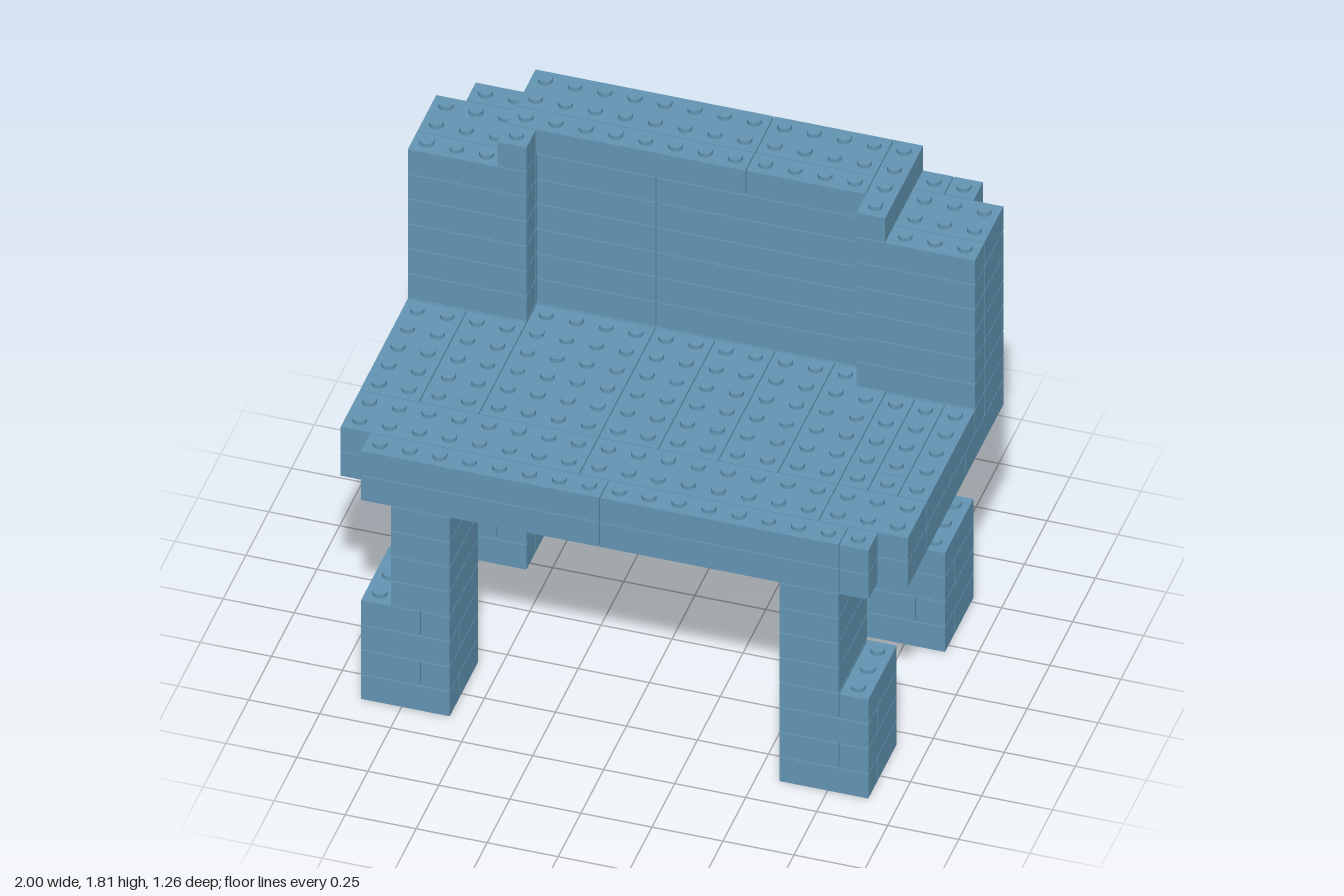
import * as THREE from 'three';
import { mergeGeometries } from 'three/addons/utils/BufferGeometryUtils.js';

// Everything sits on a grid of 19 x 12 cells and 17 layers.
const P = 2 / 19, H = 0.1055, GAP = 0.0035;
const STUD_R = 0.025, STUD_H = 0.016;
const X = i => -1 + i * P;
const Z = k => (k - 6) * P;

export function createModel() {
  const model = new THREE.Group();
  model.name = 'brickChair';
  const blue = new THREE.MeshStandardMaterial({ color: 0x6394b2 });
  blue.name = 'slate blue';

  const parts = {};
  const filled = new Set();
  const key = (i, k, layer) => `${i},${k},${layer}`;

  // One brick covering cells x0..x1 and z0..z1 on a layer
  function brick(part, layer, x0, x1, z0, z1) {
    (parts[part] ??= []).push({ layer, x0, x1, z0, z1 });
    for (let i = x0; i < x1; i++)
      for (let k = z0; k < z1; k++) filled.add(key(i, k, layer));
  }
  // A row of bricks cut at the given x positions
  function row(part, layer, cuts, z0, z1) {
    for (let c = 0; c < cuts.length - 1; c++) brick(part, layer, cuts[c], cuts[c + 1], z0, z1);
  }

  // Four legs: wide feet with alternating bond, narrower shafts above
  for (const [end, z, zCut] of [['front', 9, 11], ['back', 1, 3]]) {
    for (const [side, x0, xCut, s0] of [['Right', 1, 3, 2], ['Left', 15, 17, 15]]) {
      const name = `${end}${side}Leg`;
      for (let l = 0; l < 4; l++) {
        if (l % 2 === 0) {
          brick(name, l, x0, x0 + 3, z, zCut);
          brick(name, l, x0, x0 + 3, zCut, z + 3);
        } else row(name, l, [x0, xCut, x0 + 3], z, z + 3);
      }
      for (let l = 4; l < 8; l++) brick(name, l, s0, s0 + 2, z, z + 3);
    }
  }

  // Seat, lower layer
  row('seatBase', 8, [1, 17, 18], 0, 1);
  row('seatBase', 8, [0, 9, 19], 1, 5);
  row('seatBase', 8, [0, 9, 19], 5, 9);
  row('seatBase', 8, [0, 9, 19], 9, 11);
  row('seatBase', 8, [1, 9, 17, 18], 11, 12);

  // Seat, upper layer
  row('seatTop', 9, [1, 17, 18], 0, 1);
  row('seatTop', 9, [0, 4, 15, 19], 1, 3);
  brick('seatTop', 9, 0, 4, 3, 4);
  row('seatTop', 9, [0, 2, 4], 4, 9);
  row('seatTop', 9, [4, 8, 10, 12, 14], 3, 9);
  brick('seatTop', 9, 14, 16, 3, 9);
  brick('seatTop', 9, 16, 19, 3, 4);
  brick('seatTop', 9, 16, 17, 4, 9);
  brick('seatTop', 9, 17, 18, 4, 8);
  brick('seatTop', 9, 17, 18, 8, 9);
  brick('seatTop', 9, 18, 19, 4, 9);
  row('seatTop', 9, [0, 8, 16, 19], 9, 11);
  row('seatTop', 9, [1, 9, 17, 18], 11, 12);

  // Backrest wall with a thicker pillar at each end
  for (let l = 10; l < 16; l++) {
    row('backrestRear', l, [1, 17, 18], 0, 1);
    row('backrestWall', l, [4, 8, 15], 1, 3);
    for (const [name, x] of [['backrestRightPillar', 0], ['backrestLeftPillar', 15]]) {
      brick(name, l, x, x + 4, 1, 3);
      brick(name, l, x, x + 4, 3, 4);
    }
  }

  // Top rail with a cross brick at its left end and a nub at its right
  row('topRail', 16, [3, 11, 15], 0, 2);
  row('topRail', 16, [3, 11, 15], 2, 3);
  brick('topRail', 16, 3, 4, 3, 4);
  brick('topRail', 16, 15, 16, 0, 4);

  // Turn each part into bricks plus studs on its uncovered cells
  for (const [name, bricks] of Object.entries(parts)) {
    const boxes = [], studs = [];
    for (const { layer, x0, x1, z0, z1 } of bricks) {
      boxes.push(new THREE.BoxGeometry((x1 - x0) * P - GAP, H - GAP, (z1 - z0) * P - GAP)
        .translate((X(x0) + X(x1)) / 2, (layer + 0.5) * H, (Z(z0) + Z(z1)) / 2));
      for (let i = x0; i < x1; i++) {
        for (let k = z0; k < z1; k++) {
          if (filled.has(key(i, k, layer + 1))) continue;
          studs.push(new THREE.CylinderGeometry(STUD_R, STUD_R, STUD_H, 16)
            .translate(X(i + 0.5), (layer + 1) * H - GAP / 2 + STUD_H / 2, Z(k + 0.5)));
        }
      }
    }
    const add = (label, list) => {
      if (!list.length) return;
      const mesh = new THREE.Mesh(mergeGeometries(list), blue);
      mesh.name = label;
      model.add(mesh);
    };
    add(name, boxes);
    add(`${name}Studs`, studs);
  }
  return model;
}
